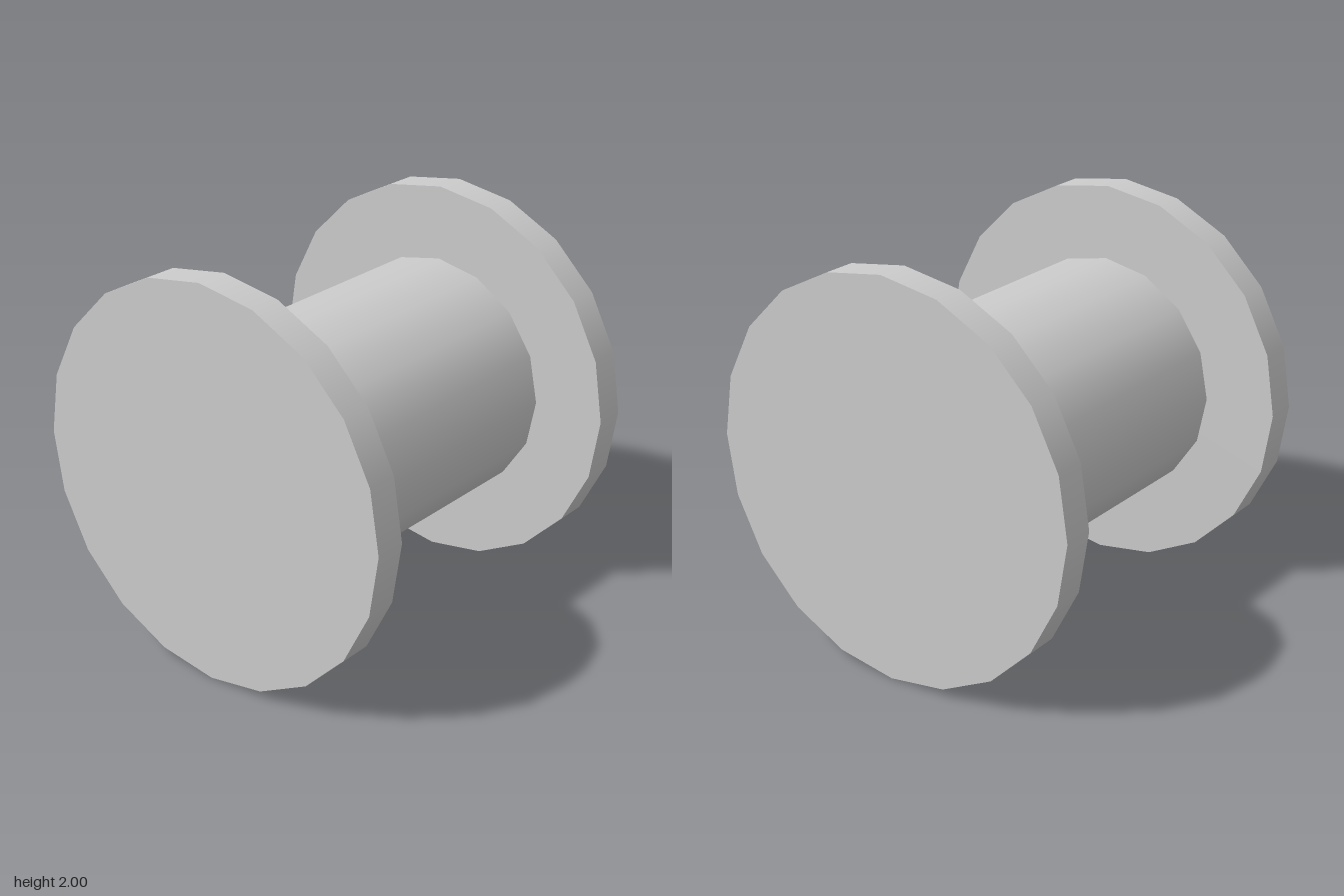
import * as THREE from 'three';

const material = new THREE.MeshStandardMaterial({ color: 0xcccccc });

// Cylinder lying along z, with its axis at y = 1
function disc(name, radius, length, sides, z) {
  const geometry = new THREE.CylinderGeometry(radius, radius, length, sides);
  geometry.rotateX(Math.PI / 2);
  const mesh = new THREE.Mesh(geometry, material);
  mesh.name = name;
  mesh.position.set(0, 1, z);
  return mesh;
}

export function createModel() {
  const model = new THREE.Group();
  model.name = 'spool';

  // Central barrel between the two end flanges
  model.add(disc('barrel', 0.622, 1.59, 16, 0));

  // Matching end flanges
  for (const [name, side] of [['frontFlange', 1], ['backFlange', -1]]) {
    model.add(disc(name, 1, 0.162, 20, side * 0.875));
  }
  return model;
}
